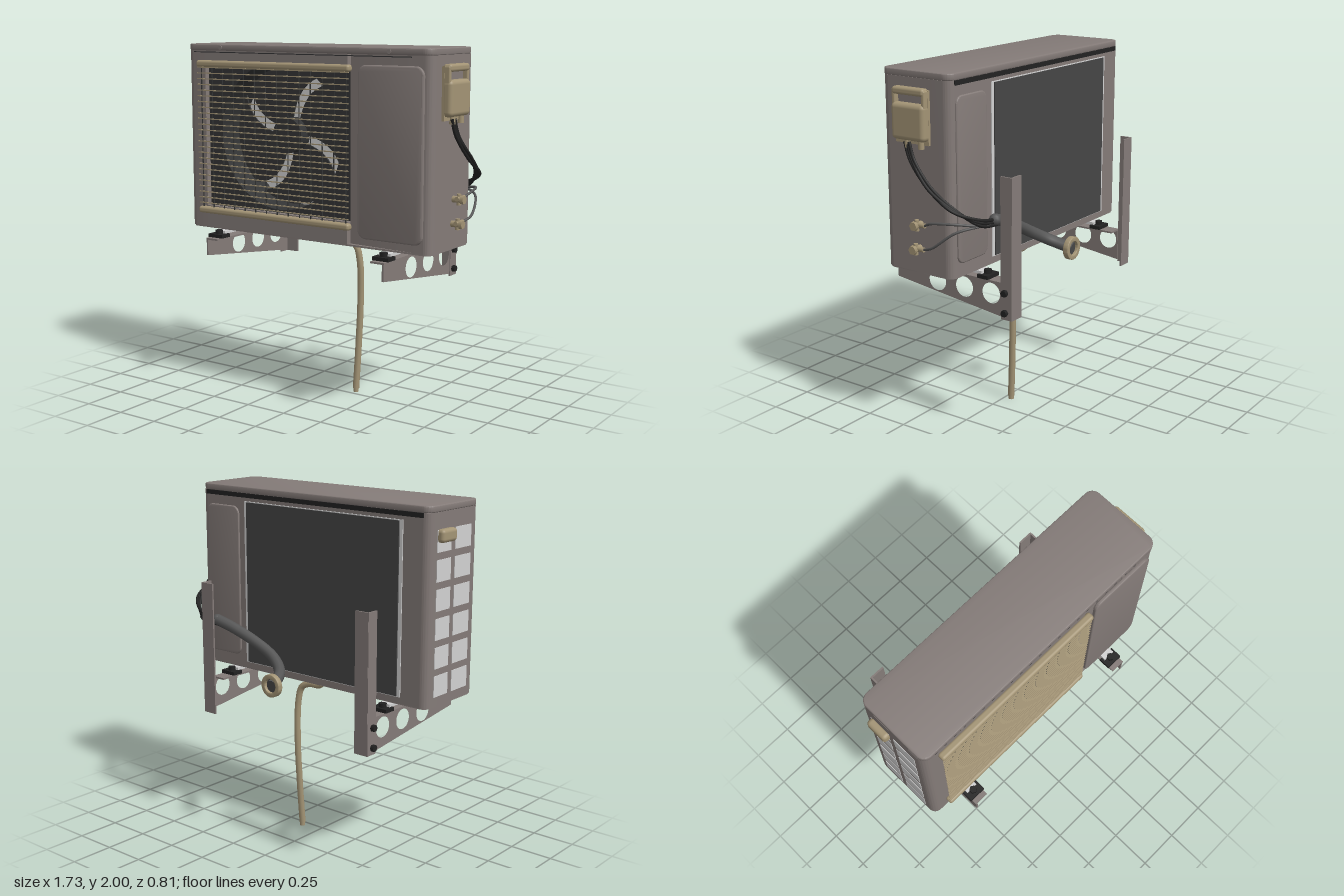
import * as THREE from 'three';
import { toCreasedNormals } from 'three/addons/utils/BufferGeometryUtils.js';
import { RoundedBoxGeometry } from 'three/addons/geometries/RoundedBoxGeometry.js';

const mat = (name, color, side = THREE.FrontSide) => {
  const m = new THREE.MeshStandardMaterial({ color, side });
  m.name = name;
  return m;
};

export function createModel() {
  const model = new THREE.Group();
  model.name = 'outdoorAirConditioner';
  const casing = mat('casing grey', 0x847b78);
  const tan = mat('tan plastic', 0xa39475);
  const dark = mat('dark interior', 0x333435, THREE.DoubleSide);
  const coilGrey = mat('coil grey', 0x464646);
  const pale = mat('pale metal', 0xd2d2d2);
  const black = mat('black rubber', 0x222222);
  const lagging = mat('pipe lagging', 0x555555);

  const add = (name, geo, material, x = 0, y = 0, z = 0, parent = model) => {
    const mesh = new THREE.Mesh(geo, material);
    mesh.name = name;
    mesh.position.set(x, y, z);
    parent.add(mesh);
    return mesh;
  };
  // box given by its limits
  const span = (name, m, x0, x1, y0, y1, z0, z1, parent = model) =>
    add(name, new THREE.BoxGeometry(x1 - x0, y1 - y0, z1 - z0), m,
      (x0 + x1) / 2, (y0 + y1) / 2, (z0 + z1) / 2, parent);
  const extrude = (shape, depth, bevel = 0) => toCreasedNormals(new THREE.ExtrudeGeometry(shape, {
    depth, bevelEnabled: bevel > 0, bevelSize: bevel, bevelThickness: bevel, bevelSegments: 3, curveSegments: 24,
  }), 0.6);
  const roundRect = (x0, x1, y0, y1, r) => {
    const s = new THREE.Shape();
    s.absarc(x1 - r, y0 + r, r, -Math.PI / 2, 0);
    s.absarc(x1 - r, y1 - r, r, 0, Math.PI / 2);
    s.absarc(x0 + r, y1 - r, r, Math.PI / 2, Math.PI);
    s.absarc(x0 + r, y0 + r, r, Math.PI, Math.PI * 1.5);
    s.closePath();
    return s;
  };
  const tube = (name, pts, r, m) => add(name, new THREE.TubeGeometry(
    new THREE.CatmullRomCurve3(pts.map(p => new THREE.Vector3(...p))), 64, r, 10), m);
  const rod = (name, r, len, axis, m, x, y, z, sides = 12, parent = model) => {
    const g = new THREE.CylinderGeometry(r, r, len, sides);
    if (axis === 'x') g.rotateZ(Math.PI / 2);
    if (axis === 'z') g.rotateX(Math.PI / 2);
    return add(name, g, m, x, y, z, parent);
  };

  // casing wall: plan outline wrapped round the unit, open at the grille
  const H = Math.PI / 2, L = -0.83, R = 0.79, F = -0.29, B = 0.15, r = 0.045, t = 0.03;
  const wall = new THREE.Shape();
  wall.moveTo(0.28, F);
  wall.absarc(R - r, F + r, r, -H, 0);
  wall.absarc(R - r, B - r, r, 0, H);
  wall.absarc(L + r, B - r, r, H, 2 * H);
  wall.absarc(L + r, F + r, r, 2 * H, 3 * H);
  wall.lineTo(-0.7, F);
  wall.lineTo(-0.7, F + t);
  wall.lineTo(L + t, F + t);
  wall.lineTo(L + t, B - t);
  wall.lineTo(R - t, B - t);
  wall.lineTo(R - t, F + t);
  wall.lineTo(0.28, F + t);
  wall.closePath();
  add('casingWall', extrude(wall, 1.02).rotateX(-H), casing, 0, 0.945, 0);
  span('panelBelowGrille', casing, -0.7, 0.28, 0.945, 1.07, 0.26, 0.29);
  span('panelAboveGrille', casing, -0.7, 0.28, 1.875, 1.965, 0.26, 0.29);
  add('lid', extrude(roundRect(L + 0.006, R - 0.006, F, B - 0.004, 0.045), 0.024, 0.006).rotateX(-H),
    casing, 0, 1.97, 0);
  add('baseTray', extrude(roundRect(L + 0.004, R - 0.004, F + 0.004, B - 0.004, 0.045), 0.01).rotateX(-H),
    casing, 0, 0.938, 0);
  span('frontSeam', dark, -0.78, 0.67, 1.952, 1.957, 0.288, 0.292);
  span('backSeam', black, -0.79, 0.75, 1.94, 1.965, -0.155, -0.149);
  add('frontServicePanel', extrude(roundRect(0.36, 0.74, 1.0, 1.9, 0.04), 0.003, 0.01), casing, 0, 0, 0.291);
  add('backServicePanel', extrude(roundRect(0.5, 0.74, 1.02, 1.88, 0.04), 0.002, 0.007), casing, 0, 0, -0.152);
  for (const x of [-0.58, 0.54]) rod('lidScrew', 0.012, 0.01, 'z', casing, x, 1.98, 0.296);

  // condenser coil on the back and its openings on the side
  span('coilEdge', pale, -0.665, 0.45, 0.98, 1.92, -0.155, -0.149);
  span('coil', coilGrey, -0.645, 0.43, 0.985, 1.915, -0.161, -0.154);
  for (let i = 0; i < 6; i++) {
    const y = 0.995 + i * 0.153;
    span('sideOpening', pale, -0.833, -0.829, y, y + 0.115, -0.085, 0.04);
    span('sideOpening', pale, -0.833, -0.829, y, y + 0.115, 0.075, 0.22);
  }
  add('sideHandle', new RoundedBoxGeometry(0.05, 0.07, 0.13, 3, 0.02), tan, -0.843, 1.845, -0.018);

  // fan chamber
  const cx = -0.21, cy = 1.495, fanR = 0.415;
  const shroud = roundRect(-0.72, 0.3, 1.05, 1.925, 0.01);
  shroud.holes.push(new THREE.Path().absarc(cx, cy, fanR, 0, Math.PI * 2, true));
  add('fanShroud', extrude(shroud, 0.01), dark, 0, 0, 0.225);
  add('fanDuct', new THREE.CylinderGeometry(fanR, fanR, 0.23, 48, 1, true).rotateX(H), dark, cx, cy, 0.115);
  add('coilFace', new THREE.CircleGeometry(fanR, 48), pale, cx, cy, 0.005);
  const fan = new THREE.Group();
  fan.name = 'fan';
  fan.position.set(cx, cy, 0.1);
  model.add(fan);
  // each blade lies between two swept gaps
  const blade = new THREE.Shape();
  const N = 10, edge = (k, base, sign) => {
    const rad = 0.09 + 0.305 * k;
    const a = base + 0.15 - 0.42 * k * k + sign * (0.024 + 0.012 * k) / rad;
    return new THREE.Vector2(rad * Math.cos(a), rad * Math.sin(a));
  };
  const outline = [];
  for (let i = 0; i <= N; i++) outline.push(edge(i / N, 0, 1));
  const a0 = outline[N].angle() - 2 * Math.PI, a1 = edge(1, H, -1).angle();
  for (let i = 1; i < N; i++) {
    const a = a0 + (a1 - a0) * i / N;
    outline.push(new THREE.Vector2(0.395 * Math.cos(a), 0.395 * Math.sin(a)));
  }
  for (let i = N; i >= 0; i--) outline.push(edge(i / N, H, -1));
  blade.setFromPoints(outline);
  const bladeGeo = extrude(blade, 0.01);
  for (let i = 0; i < 4; i++) add('fanBlade', bladeGeo, dark, 0, 0, 0, fan).rotation.z = -0.38 + i * H;
  rod('fanHub', 0.1, 0.08, 'z', dark, 0, 0, 0.03, 32, fan);

  // wire grille with its end bars
  for (const y of [1.89, 1.047])
    add('grilleBar', new RoundedBoxGeometry(1.05, 0.038, 0.045, 3, 0.015), tan, -0.215, y, 0.307);
  for (let i = 0; i < 25; i++)
    span('grilleWire', tan, -0.735, 0.305, 1.086 + i * 0.0325, 1.092 + i * 0.0325, 0.316, 0.322);
  for (let i = 0; i < 14; i++) {
    const x = -0.71 + i * 0.0765;
    span('grilleUpright', dark, x - 0.002, x + 0.002, 1.05, 1.89, 0.309, 0.315);
  }

  // terminal cover on the right end
  span('terminalBase', tan, 0.785, 0.805, 1.63, 1.91, -0.025, 0.19);
  add('terminalCover', new RoundedBoxGeometry(0.065, 0.19, 0.215, 4, 0.025), tan, 0.815, 1.745, 0.083);
  add('terminalLip', new RoundedBoxGeometry(0.05, 0.04, 0.205, 3, 0.015), tan, 0.815, 1.9, 0.083);
  for (const z of [-0.012, 0.178])
    add('terminalSide', new RoundedBoxGeometry(0.045, 0.1, 0.022, 2, 0.008), tan, 0.812, 1.86, z);
  span('terminalRecess', casing, 0.804, 0.808, 1.83, 1.885, 0.0, 0.165);
  for (const z of [0.02, 0.11]) rod('cableGland', 0.016, 0.05, 'y', tan, 0.81, 1.635, z);

  // service valves with copper lines
  for (const [y, z] of [[1.21, 0.05], [1.08, 0.06]]) {
    rod('valveBody', 0.018, 0.065, 'x', tan, 0.82, y, z);
    rod('valveCap', 0.024, 0.02, 'x', tan, 0.848, y, z, 6);
    rod('valveStem', 0.013, 0.08, 'z', tan, 0.825, y + 0.005, z - 0.015);
    rod('valvePort', 0.012, 0.06, 'y', tan, 0.825, y, z);
    tube('refrigerantLine', [[0.825, y + 0.005, z - 0.05], [0.84, y + 0.03, -0.06],
      [0.8, 1.2 + (y - 1.08) * 0.35, -0.18], [0.68, 1.225, -0.262], [0.54, 1.22, -0.265]], 0.007, lagging);
  }
  // power cables
  for (let i = 0; i < 3; i++) {
    const d = (i - 1) * 0.014;
    tube('powerCable', [[0.815, 1.64, 0.11 + d], [0.82, 1.55, 0.075 + d], [0.845 - Math.abs(d), 1.42, -0.045 + d],
      [0.81 + d, 1.32, -0.18], [0.7, 1.245 + d, -0.262], [0.53, 1.215 + d, -0.265]], 0.009, black);
  }
  // insulated pipe run and wall collar
  tube('pipeRun', [[0.035, 0.965, -0.395], [0.045, 0.975, -0.35], [0.09, 1.01, -0.265], [0.19, 1.07, -0.215],
    [0.33, 1.14, -0.22], [0.47, 1.2, -0.245], [0.575, 1.235, -0.265]], 0.032, lagging);
  add('pipeRunEnd', new THREE.SphereGeometry(0.032, 12, 8), lagging, 0.575, 1.235, -0.265);
  const collar = new THREE.Shape().absarc(0, 0, 0.062, 0, Math.PI * 2);
  collar.holes.push(new THREE.Path().absarc(0, 0, 0.042, 0, Math.PI * 2, true));
  add('wallCollar', extrude(collar, 0.026, 0.003), tan, 0.035, 0.965, -0.402);
  rod('collarCore', 0.043, 0.006, 'z', coilGrey, 0.035, 0.965, -0.385, 24);

  // drain outlet and hose
  rod('drainOutlet', 0.035, 0.035, 'y', tan, -0.03, 0.925, -0.04, 20);
  tube('drainHose', [[-0.035, 0.92, -0.04], [-0.015, 0.898, -0.04], [0.06, 0.893, -0.042], [0.115, 0.865, -0.047],
    [0.137, 0.78, -0.053], [0.137, 0.55, -0.062], [0.13, 0.28, -0.054], [0.122, 0.02, -0.04]], 0.019, tan);
  rod('hoseTip', 0.016, 0.03, 'y', tan, 0.122, 0.015, -0.04);

  // wall brackets, mirrored; local +x is the outer side
  const arm = new THREE.Shape([[0.4, 0.9], [0.4, 0.8], [-0.305, 0.712], [-0.305, 0.9]]
    .map(p => new THREE.Vector2(...p)));
  for (const z of [0.12, -0.063, -0.24])
    arm.holes.push(new THREE.Path().absarc(z, 0.83, 0.057, 0, Math.PI * 2, true));
  const armGeo = extrude(arm, 0.01).rotateY(-H);
  for (const s of [-1, 1]) {
    const bracket = new THREE.Group();
    bracket.name = s > 0 ? 'leftBracket' : 'rightBracket';
    bracket.position.x = -0.02 + s * 0.56;
    model.add(bracket);
    const out = s * 0.04;
    const part = (name, m, w, h, d, x, y, z) => add(name, new THREE.BoxGeometry(w, h, d), m, x, y, z, bracket);
    add('bracketArm', armGeo, casing, out + (s > 0 ? 0 : 0.01), 0, 0, bracket);
    part('armFlange', casing, 0.085, 0.01, 0.705, 0, 0.896, 0.0475);
    part('postSide', casing, 0.01, 0.77, 0.07, out, 1.085, -0.34);
    part('postBack', casing, 0.085, 0.77, 0.01, 0, 1.085, -0.371);
    for (const y of [0.85, 0.74]) rod('bracketBolt', 0.019, 0.025, 'x', black, out + s * 0.013, y, -0.335, 6, bracket);
    part('footRail', pale, 0.07, 0.016, 0.5, 0, 0.928, 0.075);
    for (const z of [0.335, -0.19]) {
      part('rubberPad', black, 0.1, 0.02, 0.07, 0, 0.911, z);
      rod('footBolt', 0.022, 0.025, 'y', black, 0, 0.93, z, 6, bracket);
    }
  }
  return model;
}
